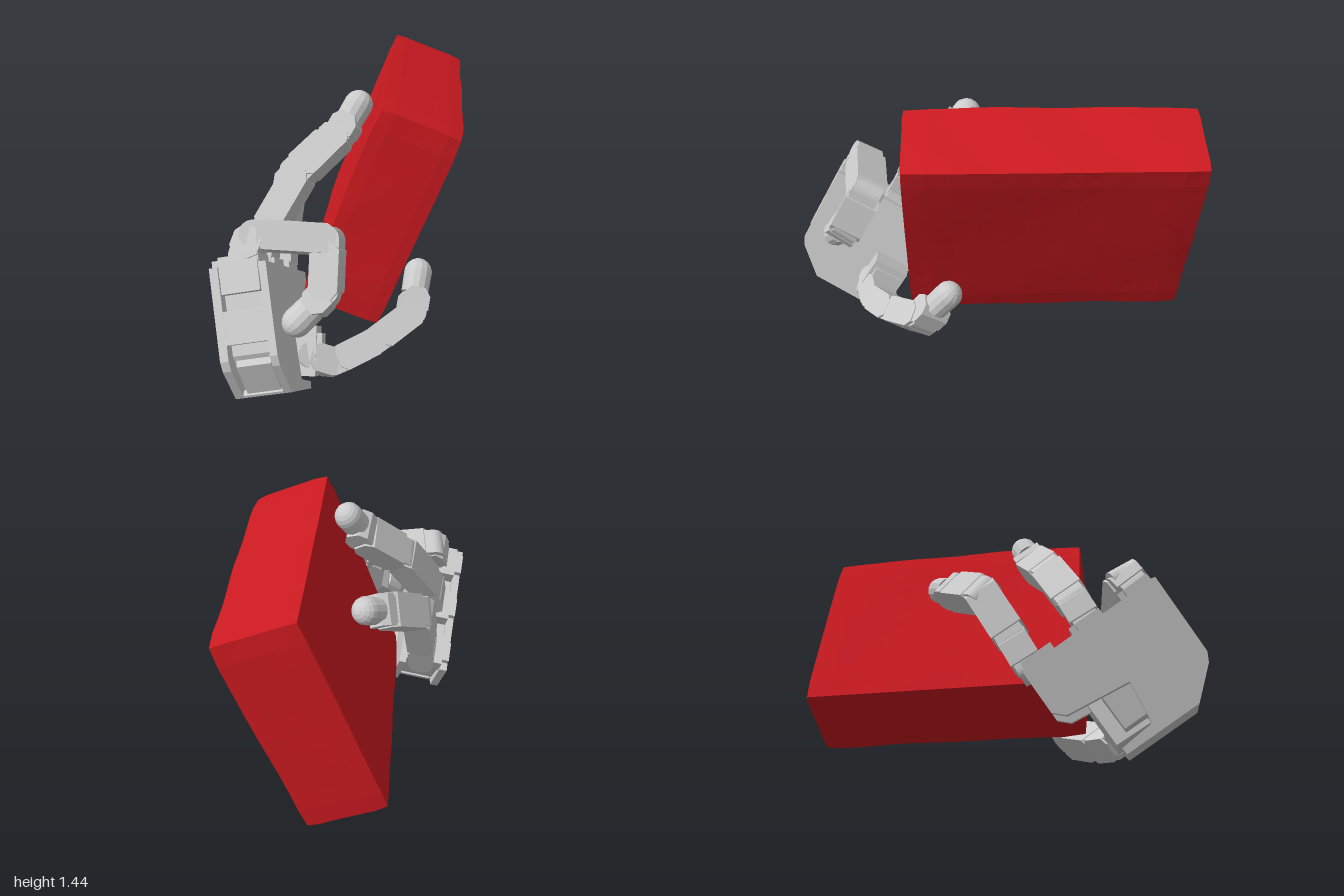
import * as THREE from 'three';

const grey = new THREE.MeshStandardMaterial({ color: 0xcccccc, flatShading: true });
const red = new THREE.MeshStandardMaterial({ color: 0xcc1a20, flatShading: true });
const V = (x, y, z) => new THREE.Vector3(x, y, z);

// Palm axes: normal (grip side), across the knuckles, along the fingers
const N = V(0.978, 0.21, 0).normalize();
const ACROSS = V(-0.112, 0.522, 0.845).normalize();
const ALONG = V().crossVectors(ACROSS, N).normalize();
const PALM_ORIGIN = V(-0.468, 0.4, 0.155);

function add(parent, name, geometry, x = 0, y = 0, z = 0, material = grey) {
  const mesh = new THREE.Mesh(geometry, material);
  mesh.name = name;
  mesh.position.set(x, y, z);
  parent.add(mesh);
  return mesh;
}

// Slab in palm space: outline is (across, along), thickness runs from x0 to x1
function slab(parent, name, outline, x0, x1) {
  const shape = new THREE.Shape(outline.map(([x, y]) => new THREE.Vector2(x, y)));
  const g = new THREE.ExtrudeGeometry(shape, { depth: x1 - x0, bevelEnabled: false });
  g.rotateY(-Math.PI / 2); // shape x -> z, depth -> -x
  g.translate(x1, 0, 0);
  return add(parent, name, g);
}

// Group with y from a to b and z along the hinge axis
function limb(parent, name, a, b, hinge) {
  const y = b.clone().sub(a).normalize();
  const z = hinge.clone().addScaledVector(y, -hinge.dot(y)).normalize();
  const x = V().crossVectors(y, z);
  const group = new THREE.Group();
  group.name = name;
  group.quaternion.setFromRotationMatrix(new THREE.Matrix4().makeBasis(x, y, z));
  group.position.copy(a);
  parent.add(group);
  return group;
}

// Link: rounded hinge core inside a wider, chamfered housing
function link(parent, name, a, b, hinge, width = 0.17, thick = 0.135) {
  const group = limb(parent, name, a, b, hinge);
  const len = a.distanceTo(b), r = thick / 2;
  const core = new THREE.Shape();
  core.moveTo(r * 0.94, 0);
  core.lineTo(r * 0.94, len * 0.6);
  core.lineTo(-r * 0.94, len * 0.6);
  core.lineTo(-r * 0.94, 0);
  core.absarc(0, 0, r * 0.94, Math.PI, Math.PI * 2, false);
  const housing = new THREE.Shape();
  const low = Math.min(0.045, len * 0.2), top = len + 0.03;
  housing.moveTo(r, low);
  housing.lineTo(r, top - 0.04);
  housing.lineTo(r - 0.03, top);
  housing.lineTo(-r + 0.03, top);
  housing.lineTo(-r, top - 0.04);
  housing.lineTo(-r, low);
  housing.lineTo(-r * 0.5, low - 0.03);
  housing.lineTo(r * 0.5, low - 0.03);
  for (const [part, shape, depth] of [['Hinge', core, width - 0.025], ['Housing', housing, width]]) {
    const g = new THREE.ExtrudeGeometry(shape, { depth, bevelEnabled: false, curveSegments: 8 });
    add(group, name + part, g.translate(0, 0, -depth / 2));
  }
}

// Fingertip: short link with a domed, faceted pad
function fingertip(parent, name, a, b, hinge) {
  const len = a.distanceTo(b);
  link(parent, name + 'Neck', a, a.clone().lerp(b, 0.45), hinge, 0.155, 0.13);
  const group = limb(parent, name, a, b, hinge);
  const r = 0.07;
  const profile = [new THREE.Vector2(0, len * 0.5), new THREE.Vector2(r * 0.97, len * 0.5)];
  for (let i = 0; i <= 5; i++) {
    const t = (i / 5) * Math.PI / 2;
    profile.push(new THREE.Vector2(r * Math.cos(t), len + r * Math.sin(t)));
  }
  add(group, name + 'Pad', new THREE.LatheGeometry(profile, 14));
}

function digit(parent, name, points, hinge) {
  const group = new THREE.Group();
  group.name = name;
  parent.add(group);
  const p = points.map((q) => V(...q));
  ['Base', 'Proximal', 'Middle'].forEach((part, i) => {
    link(group, name + part, p[i], p[i + 1], hinge, i === 0 ? 0.15 : 0.17);
  });
  fingertip(group, name + 'Tip', p[3], p[4], hinge);
}

function buildPalm(parent) {
  const palm = new THREE.Group();
  palm.name = 'palm';
  palm.quaternion.setFromRotationMatrix(new THREE.Matrix4().makeBasis(N, ALONG, ACROSS));
  palm.position.copy(PALM_ORIGIN);
  parent.add(palm);

  // plate outline with the open notch for the thumb drive
  const outline = [[0, 0], [0.75, 0], [0.73, -0.42], [0.705, -0.465], [0.56, -0.59], [0.17, -0.59], [0.165, -0.555],
    [0.34, -0.54], [0.37, -0.33], [0.05, -0.29], [0, -0.24]];
  const core = [[0.03, -0.04], [0.69, -0.04], [0.66, -0.4], [0.53, -0.55], [0.38, -0.55], [0.4, -0.29], [0.05, -0.25]];
  slab(palm, 'backPlate', outline, 0, 0.04);
  slab(palm, 'core', core, 0.04, 0.23);
  slab(palm, 'gripPlate', outline, 0.23, 0.265);
  // heel and side band close the gap between the plates
  slab(palm, 'heel', [[0.57, -0.58], [0.56, -0.59], [0.17, -0.59], [0.165, -0.555], [0.55, -0.555]], 0.04, 0.23);
  slab(palm, 'sideBand', [[0.6, -0.2], [0.74, -0.2], [0.733, -0.35], [0.6, -0.35]], 0.04, 0.23);
  slab(palm, 'heelMotor', [[0.6, -0.42], [0.68, -0.42], [0.69, -0.45], [0.56, -0.575], [0.5, -0.54]], 0.06, 0.22);
  add(palm, 'sideMotor', new THREE.BoxGeometry(0.18, 0.14, 0.07), 0.135, -0.055, 0.71);
  add(palm, 'thumbMotor', new THREE.BoxGeometry(0.2, 0.19, 0.14), 0.15, -0.39, 0.3);
  // finger sockets along the knuckle edge
  for (const z of [0.1, 0.375, 0.65]) {
    add(palm, 'fingerSocket', new THREE.BoxGeometry(0.19, 0.09, 0.17), 0.135, 0, z);
    add(palm, 'socketStep', new THREE.BoxGeometry(0.05, 0.05, 0.11), 0.027, 0.01, z);
  }
}

// Solid block with slightly dented faces and softened edges
function buildBlock(parent) {
  const g = new THREE.BoxGeometry(0.41, 1.06, 1.395, 6, 10, 12);
  const pos = g.attributes.position;
  for (let i = 0; i < pos.count; i++) {
    const x = pos.getX(i), y = pos.getY(i), z = pos.getZ(i);
    const fx = Math.abs(x) / 0.205, fy = Math.abs(y) / 0.53, fz = Math.abs(z) / 0.6975;
    const edges = (fx > 0.99) + (fy > 0.99) + (fz > 0.99);
    const pull = edges > 1 ? 0.005 * (edges - 1) : 0;
    const wave = 0.002 * Math.sin(7 * y + 4 * z) + 0.002 * Math.sin(11 * z - 5 * y + 9 * x);
    const dent = x < 0 ? 0.012 * (1 - fy * fy) * (1 - fz * fz) : 0;
    pos.setXYZ(i,
      x - Math.sign(x) * (fx > 0.99 ? pull + wave + dent : 0),
      y - Math.sign(y) * (fy > 0.99 ? pull + wave : 0),
      z - Math.sign(z) * (fz > 0.99 ? pull + Math.abs(wave) : 0));
  }
  g.computeVertexNormals();
  const block = add(parent, 'heldBlock', g, 0.186, 0.874, -0.294, red);
  block.rotation.z = -0.367;
}

export function createModel() {
  const model = new THREE.Group();
  model.name = 'robotHandHoldingBlock';
  buildBlock(model);
  buildPalm(model);

  // Joint positions from the palm to the tip
  digit(model, 'frontFinger', [[-0.4, 0.82, 0.7], [-0.37, 0.9, 0.65], [-0.03, 0.875, 0.615],
    [-0.03, 0.66, 0.73], [-0.155, 0.55, 0.81]], ACROSS);
  digit(model, 'middleFinger', [[-0.38, 0.65, 0.47], [-0.36, 0.79, 0.4], [-0.205, 1.05, 0.27],
    [-0.02, 1.22, 0.165], [0.06, 1.355, 0.1]], ACROSS);
  digit(model, 'rearFinger', [[-0.33, 0.47, 0.18], [-0.33, 0.62, 0.1], [-0.3, 0.905, -0.06],
    [-0.145, 1.02, -0.23], [-0.05, 1.085, -0.335]], ACROSS);
  digit(model, 'thumb', [[-0.14, 0.25, 0.62], [-0.02, 0.195, 0.59], [0.17, 0.255, 0.48],
    [0.35, 0.345, 0.335], [0.375, 0.51, 0.2]], V(0.25, 0.61, 0.74));

  // thumb mount between the palm and the thumb
  const mount = limb(model, 'thumbMount', V(-0.24, 0.25, 0.58), V(-0.08, 0.255, 0.58), ACROSS);
  add(mount, 'thumbMountBody', new THREE.BoxGeometry(0.24, 0.15, 0.19), 0, 0.075, 0);
  add(mount, 'thumbMountCap', new THREE.BoxGeometry(0.17, 0.03, 0.15), 0, 0.16, 0);
  return model;
}
